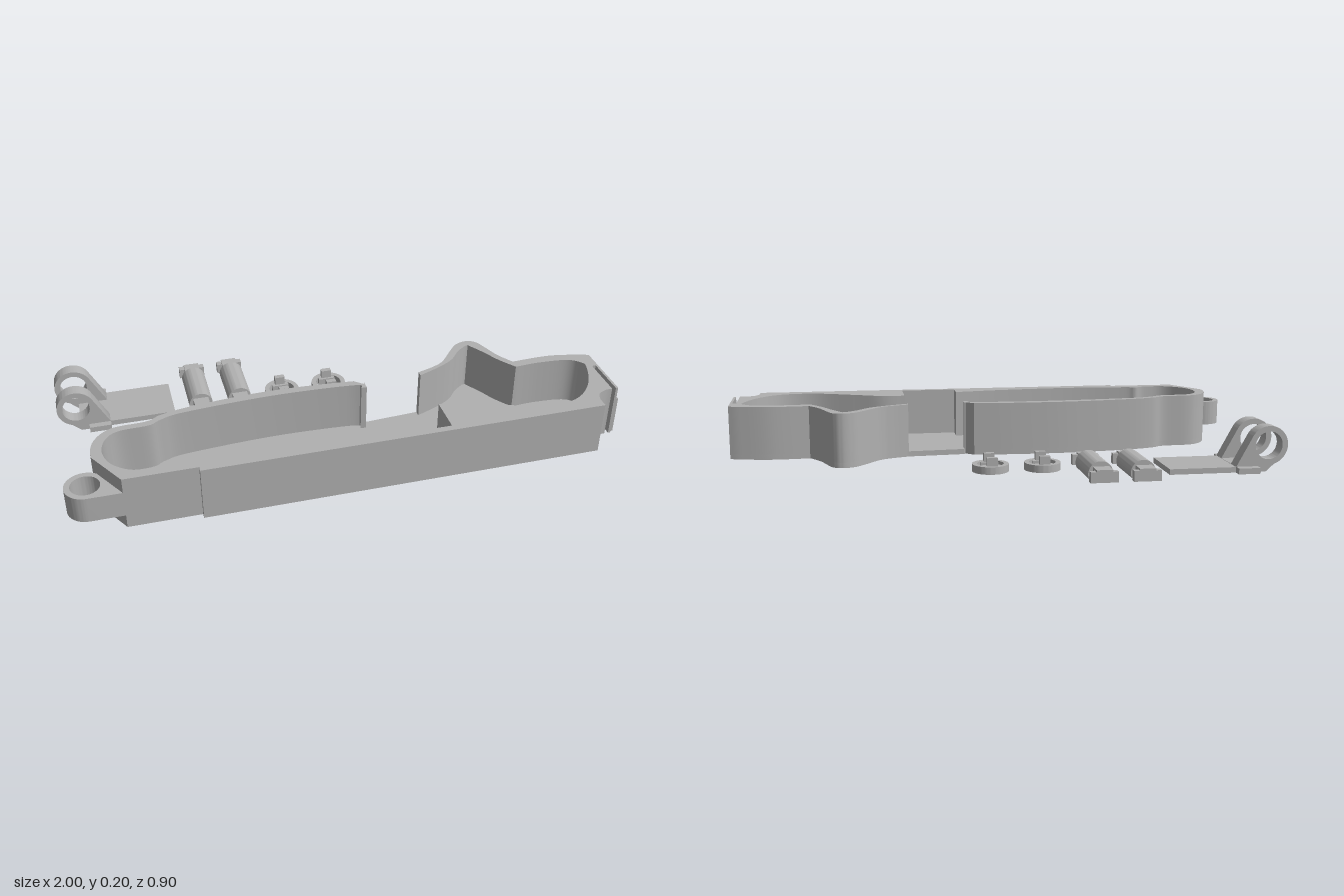
import * as THREE from 'three';
import { toCreasedNormals } from 'three/addons/utils/BufferGeometryUtils.js';

const grey = new THREE.MeshStandardMaterial({ color: 0xb0b0b0 });
grey.name = 'grey plastic';

const vec = (pts) => pts.map(([x, z]) => new THREE.Vector2(x, z));
const curve = (pts) => new THREE.SplineCurve(vec(pts)).getPoints(pts.length * 5);
const circle = (x, y, r) => new THREE.Path().absarc(x, y, r, 0, Math.PI * 2, false);

function mesh(name, geometry) {
  const m = new THREE.Mesh(geometry, grey);
  m.name = name;
  return m;
}

function extrude(shape, depth) {
  const g = new THREE.ExtrudeGeometry(shape, { depth, bevelEnabled: false, curveSegments: 32 });
  return toCreasedNormals(g, 0.5);
}

// plan outline (x, z) raised from y0 to y1
function slab(name, shape, y0, y1) {
  const g = extrude(shape, y1 - y0);
  g.rotateX(-Math.PI / 2).translate(0, y0, 0);
  return mesh(name, g);
}

function planShape(points) {
  return new THREE.Shape(points.map((p) => new THREE.Vector2(p.x, -p.y)));
}

// box given by its limits
function block(name, x0, x1, y0, y1, z0, z1) {
  const g = new THREE.BoxGeometry(x1 - x0, y1 - y0, z1 - z0);
  g.translate((x0 + x1) / 2, (y0 + y1) / 2, (z0 + z1) / 2);
  return mesh(name, g);
}

function createTray() {
  const tray = new THREE.Group();
  tray.name = 'tray';

  // outside, from the gap in the back wall round the left end, front and right end
  const outer = [
    ...vec([[0.105, 0.085], [0.1, 0.095]]),
    ...curve([[0.07, 0.068], [-0.07, 0.056], [-0.25, 0.051], [-0.4, 0.06], [-0.555, 0.078],
      [-0.645, 0.1], [-0.695, 0.126], [-0.8, 0.132], [-0.85, 0.155], [-0.885, 0.2],
      [-0.898, 0.25], [-0.898, 0.286]]),
    ...vec([[-0.813, 0.43], [-0.56, 0.43], [-0.56, 0.45], [0.89, 0.45]]),
    ...curve([[0.89, 0.41], [0.905, 0.376], [0.94, 0.36]]),
    // slot behind the springy end strip
    ...vec([[0.963, 0.36], [0.963, 0.2], [0.978, 0.2], [0.978, 0.36], [0.987, 0.36]]),
    ...curve([[0.987, 0.125], [0.94, 0.11], [0.83, 0.09], [0.69, 0.094]]),
    ...curve([[0.685, 0.09], [0.65, 0.035], [0.625, -0.03], [0.605, -0.075], [0.57, -0.093],
      [0.525, -0.08], [0.49, -0.045], [0.43, 0.025], [0.38, 0.052], [0.32, 0.072]]),
  ];

  // inside, from the right side of the gap back to its left side
  const inner = [
    ...curve([[0.32, 0.094], [0.41, 0.056], [0.47, 0.02], [0.515, -0.03], [0.555, -0.06]]),
    ...curve([[0.567, -0.062], [0.605, 0], [0.64, 0.067], [0.685, 0.131]]),
    ...curve([[0.69, 0.131], [0.78, 0.126], [0.89, 0.136], [0.935, 0.168], [0.94, 0.2],
      [0.9, 0.297], [0.835, 0.37], [0.755, 0.4], [0.65, 0.393], [0.515, 0.34],
      [0.41, 0.297], [0.32, 0.291]]),
    ...vec([[0.32, 0.425], [0.107, 0.425]]),
    ...curve([[0.107, 0.355], [-0.075, 0.382], [-0.29, 0.398], [-0.45, 0.398], [-0.61, 0.382],
      [-0.65, 0.372], [-0.69, 0.388], [-0.77, 0.388], [-0.835, 0.34], [-0.86, 0.27],
      [-0.845, 0.2], [-0.797, 0.16], [-0.69, 0.152], [-0.645, 0.128], [-0.555, 0.104],
      [-0.235, 0.083], [0.06, 0.094], [0.085, 0.118]]),
    ...vec([[0.105, 0.12]]),
  ];

  tray.add(slab('trayFloor', planShape(outer), 0, 0.02));
  tray.add(slab('trayWalls', planShape([...outer, ...inner]), 0.02, 0.2));

  // hinge ear at the left end
  const ear = new THREE.Shape();
  ear.moveTo(-0.813, -0.43);
  ear.lineTo(-0.93, -0.43);
  ear.absarc(-0.93, -0.36, 0.07, -Math.PI / 2, Math.PI / 4, true);
  ear.holes.push(circle(-0.93, -0.36, 0.05));
  tray.add(slab('hingeEar', ear, 0.05, 0.145));

  // catch on the end strip
  tray.add(block('catch', 0.985, 1, 0, 0.145, 0.33, 0.352));
  return tray;
}

function createHingeLeaf() {
  const leaf = new THREE.Group();
  leaf.name = 'hingeLeaf';
  leaf.add(block('leafPlate', -0.92, -0.567, 0, 0.02, -0.37, -0.172));
  leaf.add(block('leafCrossBar', -0.89, -0.81, 0, 0.021, -0.4, -0.145));

  // two knuckles rising from the plate
  const knuckle = new THREE.Shape();
  knuckle.moveTo(-0.92, 0);
  knuckle.lineTo(-0.81, 0);
  knuckle.lineTo(-0.81, 0.02);
  knuckle.absarc(-0.93, 0.095, 0.07, 0.45, Math.PI * 1.4, false);
  knuckle.holes.push(circle(-0.93, 0.095, 0.05));
  for (const z of [-0.37, -0.222]) {
    const k = mesh('knuckle', extrude(knuckle, 0.052));
    k.position.z = z;
    leaf.add(k);
  }
  return leaf;
}

function createRoller(x) {
  const roller = new THREE.Group();
  roller.name = 'roller';

  // round barrel with a flat underside
  const barrel = new THREE.Shape();
  barrel.absarc(0, 0.018, 0.045, -0.41, Math.PI + 0.41, false);
  const body = mesh('rollerBarrel', extrude(barrel, 0.195));
  body.position.z = -0.0975;
  roller.add(body);

  // a neck and a cross piece at each end
  for (const s of [-1, 1]) {
    const neck = mesh('rollerNeck', new THREE.BoxGeometry(0.058, 0.045, 0.06));
    neck.position.set(0, 0.0225, s * 0.125);
    const end = mesh('rollerEnd', new THREE.BoxGeometry(0.098, 0.038, 0.025));
    end.position.set(0, 0.019, s * 0.1425);
    roller.add(neck, end);
  }
  roller.position.set(x, 0, -0.2975);
  return roller;
}

function createCap(x) {
  const cap = new THREE.Group();
  cap.name = 'cap';
  const ring = new THREE.Shape().absarc(0, 0, 0.066, 0, Math.PI * 2, false);
  ring.holes.push(circle(0, 0, 0.048));
  cap.add(slab('capRing', ring, 0, 0.027));

  // facing lugs standing up from the ring
  for (const s of [-1, 1]) {
    const web = mesh('capWeb', new THREE.BoxGeometry(0.064, 0.026, 0.026));
    web.position.set(0, 0.013, s * 0.035);
    const lug = mesh('capLug', new THREE.BoxGeometry(0.038, 0.057, 0.02));
    lug.position.set(0, 0.0285, s * 0.041);
    cap.add(web, lug);
  }
  cap.position.set(x, 0, -0.211);
  return cap;
}

export function createModel() {
  const model = new THREE.Group();
  model.name = 'caseKit';
  model.add(createTray(), createHingeLeaf());
  for (const x of [-0.463, -0.311]) model.add(createRoller(x));
  for (const x of [-0.141, 0.048]) model.add(createCap(x));
  return model;
}
